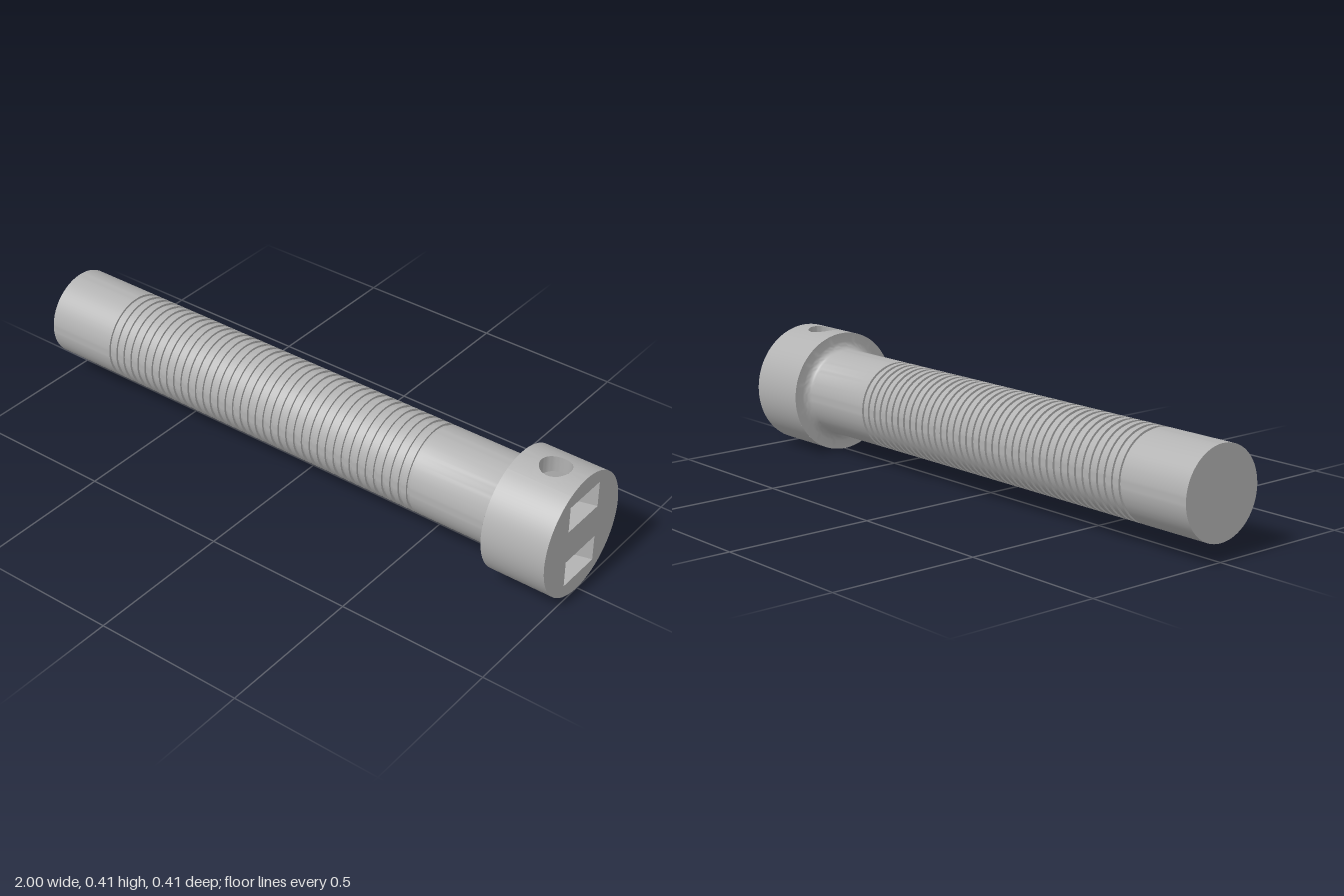
import * as THREE from 'three';
import { toCreasedNormals } from 'three/addons/utils/BufferGeometryUtils.js';

const AXIS_Y = 0.204;               // height of the bolt's axis
const R = 0.204, SHAFT_R = 0.147;   // head and shaft radii
const HEAD_X = 0.78;                // where the head starts
const HOLE = { x: 0.895, r: 0.05, bottom: 0.03 };
const SLOT = { low: 0.056, high: 0.146, half: 0.08, depth: 0.31 };

const steel = new THREE.MeshStandardMaterial({ color: 0xb2b2b2, side: THREE.DoubleSide });
steel.name = 'steel grey';

function part(name, geometry) {
  const mesh = new THREE.Mesh(toCreasedNormals(geometry, 0.6), steel);
  mesh.name = name;
  return mesh;
}

// Surface from a rule: fn(i, j) returns [x, y, z] on an nu by nv grid
function grid(nu, nv, fn) {
  const pos = [], index = [];
  for (let j = 0; j <= nv; j++) for (let i = 0; i <= nu; i++) pos.push(...fn(i, j));
  for (let j = 0; j < nv; j++) for (let i = 0; i < nu; i++) {
    const a = j * (nu + 1) + i, b = a + nu + 1;
    index.push(a, b, a + 1, b, b + 1, a + 1);
  }
  const g = new THREE.BufferGeometry();
  g.setAttribute('position', new THREE.Float32BufferAttribute(pos, 3));
  g.setIndex(index);
  return g;
}

const headY = z => Math.sqrt(R * R - z * z);

// Shaft with ring grooves, root fillet and the back of the head
function shaft() {
  const pts = [[0, -1], [SHAFT_R, -1]];
  const count = 40, start = -0.745, pitch = 1.245 / count;
  for (let i = 0; i < count; i++) {
    const a = start + i * pitch, b = a + 0.013;
    pts.push([SHAFT_R, a], [SHAFT_R - 0.007, a], [SHAFT_R - 0.007, b], [SHAFT_R, b]);
  }
  const f = 0.027;
  for (let i = 0; i <= 6; i++) {
    const t = i / 6 * Math.PI / 2;
    pts.push([SHAFT_R + f * (1 - Math.cos(t)), HEAD_X - f + f * Math.sin(t)]);
  }
  pts.push([R, HEAD_X]);
  const g = new THREE.LatheGeometry(pts.map(p => new THREE.Vector2(...p)), 96);
  return part('shaft', g.rotateZ(-Math.PI / 2));
}

// End face of the head with two slot openings
function endFace() {
  const s = new THREE.Shape().absarc(0, 0, R, 0, Math.PI * 2);
  for (const y of [SLOT.low, -SLOT.high]) {
    const h = SLOT.high - SLOT.low, w = SLOT.half;
    s.holes.push(new THREE.Path().moveTo(-w, y).lineTo(-w, y + h)
      .lineTo(w, y + h).lineTo(w, y).closePath());
  }
  const g = new THREE.ShapeGeometry(s, 96).rotateY(Math.PI / 2).translate(1, 0, 0);
  return part('headEndFace', g);
}

// Half of the head: side wall, holed top patch, cross hole and wedge slot
function headHalf() {
  const half = new THREE.Group();
  half.name = 'headHalf';
  const beta = Math.asin(SLOT.half / R);

  half.add(part('headSide', grid(40, 1, (i, j) => {
    const t = beta + (Math.PI - 2 * beta) * i / 40;
    return [j ? 1 : HEAD_X, R * Math.cos(t), R * Math.sin(t)];
  })));

  // Patch running from a rectangle on the head to the rim of the hole
  const n = 16, w = SLOT.half;
  const corners = [[HEAD_X, -w], [HEAD_X, w], [1, w], [1, -w]];
  half.add(part('headHoleSurround', grid(4 * n, 6, (i, j) => {
    const side = Math.floor(i / n) % 4, f = (i % n) / n, v = j / 6;
    const a = corners[side], b = corners[(side + 1) % 4];
    const x = a[0] + (b[0] - a[0]) * f, z = a[1] + (b[1] - a[1]) * f;
    const t = Math.atan2(z, x - HOLE.x);
    const px = x + (HOLE.x + HOLE.r * Math.cos(t) - x) * v;
    const pz = z + (HOLE.r * Math.sin(t) - z) * v;
    return [px, headY(pz), pz];
  })));

  // Hole wall above the slot, then its blind end below the slot
  for (const [low, high] of [[SLOT.high, null], [HOLE.bottom, SLOT.low]]) {
    half.add(part('crossHoleWall', grid(48, 1, (i, j) => {
      const t = i / 48 * Math.PI * 2, z = HOLE.r * Math.sin(t);
      return [HOLE.x + HOLE.r * Math.cos(t), j ? low : high ?? headY(z), z];
    })));
  }
  const bottom = new THREE.CircleGeometry(HOLE.r, 48).rotateX(-Math.PI / 2);
  half.add(part('crossHoleBottom', bottom.translate(HOLE.x, HOLE.bottom, 0)));

  // Wedge slot: floor and ceiling pierced by the hole, two slanted walls
  const tri = new THREE.Shape().moveTo(1, -w).lineTo(1, w).lineTo(1 - SLOT.depth, 0).closePath();
  tri.holes.push(new THREE.Path().absarc(HOLE.x, 0, HOLE.r, 0, Math.PI * 2, true));
  for (const [name, y, turn] of [['slotFloor', SLOT.low, -1], ['slotCeiling', SLOT.high, 1]]) {
    const g = new THREE.ShapeGeometry(tri, 24).rotateX(turn * Math.PI / 2);
    half.add(part(name, g.translate(0, y, 0)));
  }
  for (const s of [-1, 1]) {
    half.add(part('slotWall', grid(1, 1, (i, j) => [
      i ? 1 : 1 - SLOT.depth, j ? SLOT.high : SLOT.low, i ? s * w : 0])));
  }
  return half;
}

export function createModel() {
  const model = new THREE.Group();
  model.name = 'groovedBolt';
  const upper = headHalf(), lower = headHalf();
  lower.rotation.x = Math.PI;
  const body = new THREE.Group();
  body.name = 'boltBody';
  body.add(shaft(), endFace(), upper, lower);
  body.position.y = AXIS_Y;
  model.add(body);
  return model;
}
